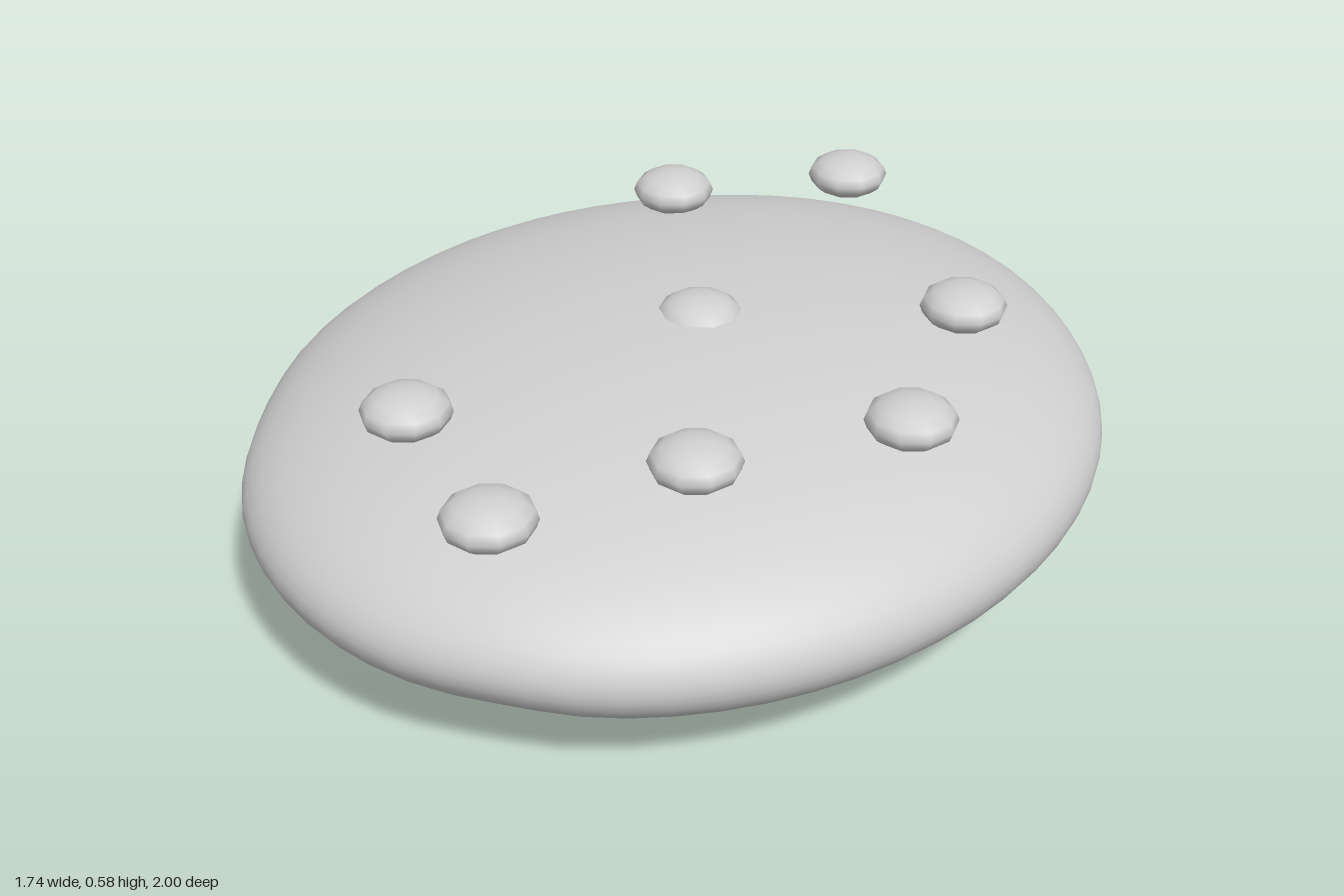
import * as THREE from 'three';

export function createModel() {
  const model = new THREE.Group();
  const grey = new THREE.MeshStandardMaterial({ color: 0xd0d0d0 });
  grey.name = 'pale grey';

  // Flattened oval body, its rim pulled in slightly at a few angles: [angle, depth, width]
  const dents = [[-2.3, 0.025, 0.4], [-0.85, 0.015, 0.4], [2.5, 0.015, 0.25], [1.25, 0.012, 0.15]];
  const bodyGeometry = new THREE.SphereGeometry(1, 64, 40);
  const position = bodyGeometry.attributes.position;
  const normal = bodyGeometry.attributes.normal;
  const n = new THREE.Vector3();
  for (let i = 0; i < position.count; i++) {
    const x = position.getX(i), y = position.getY(i), z = position.getZ(i);
    const angle = Math.atan2(z, x);
    let scale = 1;
    for (const [at, depth, width] of dents) {
      scale -= depth * Math.hypot(x, z) * Math.exp(-(((angle - at) / width) ** 2));
    }
    position.setXYZ(i, x * 0.87 * scale, y * 0.275, z * scale);
    n.set(x / 0.87, y / 0.275, z).normalize();
    normal.setXYZ(i, n.x, n.y, n.z);
  }
  const body = new THREE.Mesh(bodyGeometry, grey);
  body.name = 'body';
  body.position.y = 0.278;
  model.add(body);

  // Small flattened pebbles on a level plane above the body: [x, z]
  const pebbles = new THREE.Group();
  pebbles.name = 'pebbles';
  const pebbleGeometry = new THREE.SphereGeometry(0.092, 10, 8);
  pebbleGeometry.scale(1, 0.52, 1);
  const spots = [
    [-0.09, -0.78], [-0.37, -0.465], [0.46, -0.37], [0.04, -0.005],
    [0.61, 0.09], [0.365, 0.455], [-0.19, 0.64], [0.18, 0.825],
  ];
  for (const [x, z] of spots) {
    const pebble = new THREE.Mesh(pebbleGeometry, grey);
    pebble.name = 'pebble';
    pebble.position.set(x, 0.535, z);
    pebbles.add(pebble);
  }
  model.add(pebbles);
  return model;
}
